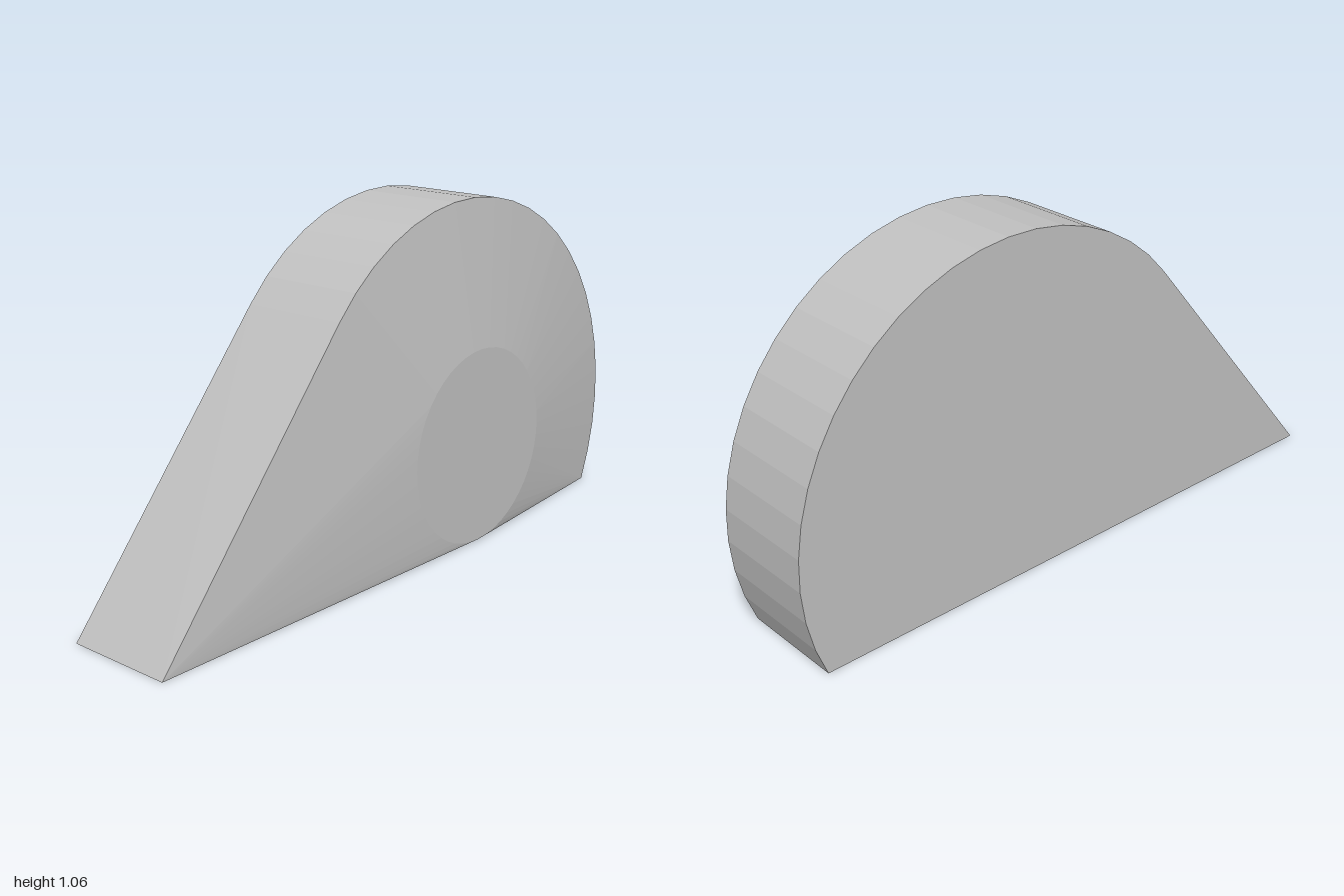
import * as THREE from 'three';
import { ConvexGeometry } from 'three/addons/geometries/ConvexGeometry.js';

export function createModel() {
  const group = new THREE.Group();
  const grey = new THREE.MeshStandardMaterial({ color: 0xc0c0c0 });
  grey.name = 'plain grey';

  const cz = -0.25, cy = 0.31, radius = 0.75; // centre and radius of the rounded end
  const xBack = -0.198, xEdge = 0.138, xCap = 0.198;
  const onCircle = (r, a) => [cz + r * Math.cos(a), cy + r * Math.sin(a)];

  // Teardrop outline (z, y): pointed tip, then an arc from the tangent point to the base
  const start = Math.atan2(-cy, 1 - cz) + Math.acos(radius / Math.hypot(1 - cz, cy));
  const end = Math.PI + Math.asin(cy / radius);
  const outline = [[1, 0]];
  for (let i = 0; i <= 22; i++) outline.push(onCircle(radius, start + (end - start) * i / 22));

  // Straight walls between the two outlines, tapering to a round flat cap
  const points = [];
  for (const [z, y] of outline) {
    points.push(new THREE.Vector3(xBack, y, z), new THREE.Vector3(xEdge, y, z));
  }
  for (let i = 0; i < 48; i++) {
    const [z, y] = onCircle(0.305, i / 48 * Math.PI * 2);
    points.push(new THREE.Vector3(xCap, y, z));
  }
  const body = new THREE.Mesh(new ConvexGeometry(points), grey);
  body.name = 'teardropBody';
  group.add(body);
  return group;
}
